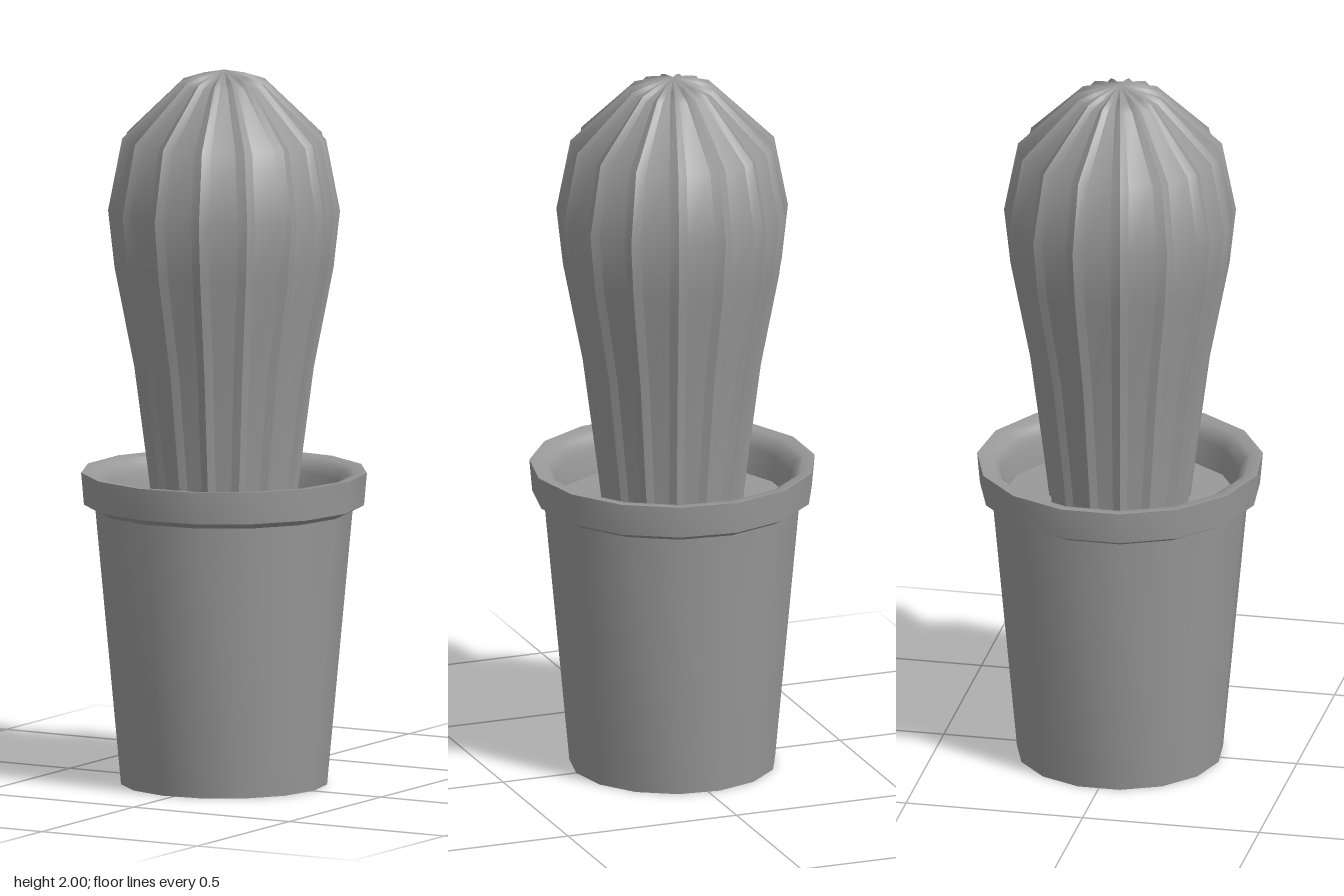
import * as THREE from 'three';
import { toCreasedNormals } from 'three/addons/utils/BufferGeometryUtils.js';

const SIDES = 15;
const STEP = (Math.PI * 2) / SIDES;
const material = new THREE.MeshStandardMaterial({ color: 0x999999 });

function addPart(group, name, geometry) {
  const mesh = new THREE.Mesh(geometry, material);
  mesh.name = name;
  mesh.position.x = -0.004; // centres the odd-sided outline on x
  group.add(mesh);
  return mesh;
}

// Tapered pot with a bevelled lip and a rounded inner rim; first corner on +x
function potGeometry() {
  const profile = [
    [0, 0], [0.287, 0], [0.358, 0.768], [0.39, 0.785], [0.398, 0.875],
    [0.365, 0.872], [0.346, 0.859], [0.334, 0.83], [0.327, 0.75],
  ].map(([r, y]) => new THREE.Vector2(r, y));
  return toCreasedNormals(new THREE.LatheGeometry(profile, SIDES, Math.PI / 2), 0.9);
}

// Ribbed body: sharp narrow ridges with flat panels between them.
// Every column is smooth along its length and hard along its sides.
function cactusGeometry() {
  const ridge = [
    [0.195, 0.74], [0.212, 0.88], [0.25, 1.17], [0.305, 1.45],
    [0.323, 1.61], [0.284, 1.81], [0.118, 1.97], [0.075, 1.984], [0, 2],
  ];
  // The valley lies a little below the ridge, towards the body's middle
  const valley = ridge.map(([r, y]) => {
    const depth = Math.min(0.01, r * 0.12);
    const inward = new THREE.Vector2(r, Math.max(0, y - 1.61)).setLength(depth);
    return [r - inward.x, y - inward.y];
  });

  const positions = [];
  const indices = [];
  const pushEdge = (profile, angle, side) => profile.forEach(([r, y]) => {
    // Ridges narrow more slowly than the body does near the tip
    const a = angle + side * STEP * (0.33 - 0.45 * r);
    positions.push(r * Math.cos(a), y, -r * Math.sin(a));
  });
  const addColumn = (left, right) => {
    const a = positions.length / 3;
    const b = a + ridge.length;
    pushEdge(...left);
    pushEdge(...right);
    for (let j = 0; j < ridge.length - 1; j++) {
      indices.push(a + j, b + j, b + j + 1, a + j, b + j + 1, a + j + 1);
    }
  };
  for (let i = 0; i < SIDES; i++) {
    const angle = i * STEP;
    addColumn([valley, angle, -1], [ridge, angle, 0]);
    addColumn([ridge, angle, 0], [valley, angle, 1]);
    addColumn([valley, angle, 1], [valley, angle + STEP, -1]);
  }

  const geometry = new THREE.BufferGeometry();
  geometry.setAttribute('position', new THREE.Float32BufferAttribute(positions, 3));
  geometry.setIndex(indices);
  geometry.computeVertexNormals();
  // All columns blend at the tip
  for (let i = ridge.length - 1; i < positions.length / 3; i += ridge.length) {
    geometry.attributes.normal.setXYZ(i, 0, 1, 0);
  }
  return geometry;
}

export function createModel() {
  const group = new THREE.Group();
  group.name = 'pottedCactus';

  addPart(group, 'pot', potGeometry());

  const soil = addPart(group, 'soil', new THREE.CircleGeometry(0.329, SIDES).rotateX(-Math.PI / 2));
  soil.position.y = 0.757;

  addPart(group, 'cactus', cactusGeometry());
  return group;
}
